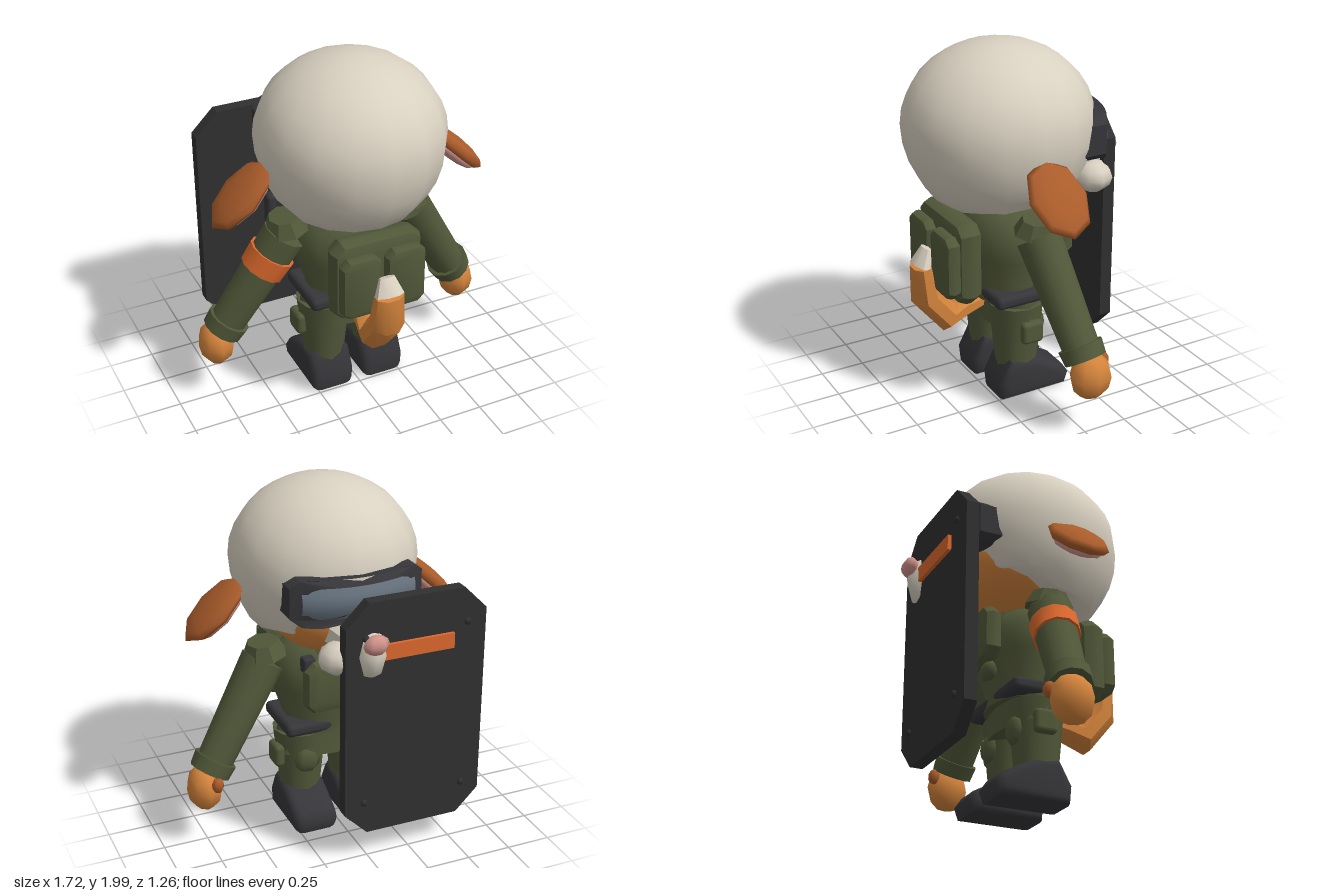
import * as THREE from 'three';
import { toCreasedNormals } from 'three/addons/utils/BufferGeometryUtils.js';
import { RoundedBoxGeometry } from 'three/addons/geometries/RoundedBoxGeometry.js';

const mat = (name, color, side = THREE.FrontSide) => {
  const m = new THREE.MeshStandardMaterial({ color, side });
  m.name = name;
  return m;
};
const shapeOf = pts => new THREE.Shape(pts.map(p => new THREE.Vector2(...p)));

export function createModel() {
  const model = new THREE.Group();
  model.name = 'animalOfficer';
  const cream = mat('cream', 0xd8d0c0), fur = mat('orangeFur', 0xd4843c), ear = mat('rustFur', 0xaa5c2b);
  const band = mat('brightOrange', 0xdb682c), pink = mat('pink', 0xd2948c), green = mat('olive', 0x515839);
  const black = mat('black', 0x36363a), shieldMat = mat('shieldBlack', 0x303031);
  const glass = mat('glass', 0x66727e, THREE.DoubleSide);

  const add = (name, geo, material, pos = [0, 0, 0], scale = [1, 1, 1]) => {
    const m = new THREE.Mesh(geo, material);
    m.name = name;
    m.position.set(...pos);
    m.scale.set(...scale);
    model.add(m);
    return m;
  };
  const ball = (name, material, pos, scale, w = 10, h = 8) =>
    add(name, new THREE.SphereGeometry(1, w, h), material, pos, scale);
  const block = (name, material, pos, size, r) =>
    add(name, new RoundedBoxGeometry(...size, 2, r), material, pos);
  // Padded pouch: clipped rectangle with a wide bevel front and back
  const pouch = (name, pos, w, h, d, bevel) => {
    const x = w / 2 - bevel, y = h / 2 - bevel, c = 0.02, t = d * 0.4;
    const shape = shapeOf([[-x + c, -y], [x - c, -y], [x, -y + c], [x, y - c], [x - c, y], [-x + c, y], [-x, y - c], [-x, -y + c]]);
    const geo = new THREE.ExtrudeGeometry(shape, { depth: d - 2 * t, bevelThickness: t, bevelSize: bevel, bevelSegments: 2 });
    geo.translate(0, 0, t - d / 2);
    add(name, toCreasedNormals(geo, 0.7), green, pos);
  };
  const up = new THREE.Vector3(0, 1, 0);
  // Round bar from a to b
  const bar = (name, material, a, b, ra, rb, sides = 12) => {
    const A = new THREE.Vector3(...a), B = new THREE.Vector3(...b), d = B.clone().sub(A);
    const geo = toCreasedNormals(new THREE.CylinderGeometry(rb, ra, d.length(), sides), 0.9);
    const m = add(name, geo, material, A.clone().add(B).multiplyScalar(0.5).toArray());
    m.quaternion.setFromUnitVectors(up, d.normalize());
  };
  // Loft of rings [y, z, radiusX, radiusAcross] along a path in the x = 0 plane
  const loft = (name, material, rings, sides = 8) => {
    const pos = [], index = [], n = rings.length;
    rings.forEach(([y, z, rx, rt], i) => {
      const a = rings[Math.max(i - 1, 0)], b = rings[Math.min(i + 1, n - 1)];
      const ty = b[0] - a[0], tz = b[1] - a[1], l = Math.hypot(ty, tz);
      for (let j = 0; j < sides; j++) {
        const t = ((j + 0.5) / sides) * Math.PI * 2, c = Math.cos(t) * rx, s = Math.sin(t) * rt;
        pos.push(c, y + (s * tz) / l, z - (s * ty) / l);
      }
    });
    pos.push(0, rings[0][0], rings[0][1], 0, rings[n - 1][0], rings[n - 1][1]);
    for (let j = 0; j < sides; j++) {
      const k = (j + 1) % sides;
      for (let i = 0; i < n - 1; i++) {
        const a = i * sides + j, b = i * sides + k;
        index.push(a, b, a + sides, b, b + sides, a + sides);
      }
      const e = (n - 1) * sides;
      index.push(n * sides, k, j, n * sides + 1, e + j, e + k);
    }
    const geo = new THREE.BufferGeometry();
    geo.setAttribute('position', new THREE.Float32BufferAttribute(pos, 3));
    geo.setIndex(index);
    add(name, toCreasedNormals(geo, 0.7), material);
  };

  // Woolly cap: ellipsoid cut along a hairline that rises towards the face
  const hair = new THREE.SphereGeometry(1, 16, 16);
  const hp = hair.attributes.position;
  const hairline = z => 1.12 + Math.max(0, 0.38 - z) * 0.24 + Math.max(0, -0.2 - z) * 1.0;
  for (let i = 0; i < hp.count; i++) {
    const x = hp.getX(i) * 0.51, z = 0.11 + hp.getZ(i) * 0.52;
    const y = 1.56 + hp.getY(i) * (hp.getY(i) > 0 ? 0.44 : 0.55);
    hp.setXYZ(i, x, Math.max(y, hairline(z)), z);
  }
  add('woolCap', toCreasedNormals(hair, 0.6), cream);

  // Face, muzzle and nose
  ball('face', fur, [0, 1.36, -0.04], [0.38, 0.28, 0.31], 16, 12);
  loft('muzzle', cream, [[1.27, -0.25, 0.17, 0.12], [1.27, -0.36, 0.15, 0.11], [1.26, -0.46, 0.12, 0.09],
    [1.26, -0.53, 0.08, 0.07]]);
  ball('snout', cream, [0, 1.23, -0.5], [0.09, 0.15, 0.1], 8, 4);
  ball('chin', cream, [0, 1.16, -0.42], [0.1, 0.06, 0.12]);
  ball('nose', pink, [0, 1.305, -0.585], [0.073, 0.055, 0.045], 6, 6);
  for (const s of [-1, 1]) ball('cheek', cream, [s * 0.125, 1.185, -0.41], [0.12, 0.09, 0.11], 8, 6);

  // Goggles: flat frame and bulging lens bent around the face
  const bend = (geo, z0, bulge) => {
    const p = geo.attributes.position;
    for (let i = 0; i < p.count; i++) p.setZ(i, z0 + p.getZ(i) + 0.75 * p.getX(i) ** 2 - bulge * (1 - (p.getY(i) / 0.085) ** 2));
    geo.computeVertexNormals();
    return geo;
  };
  const outline = (w, h, notch) => {
    const top = [], bottom = [];
    for (let i = 0; i <= 14; i++) {
      const x = w * (i / 7 - 1), y = h - Math.max(0, Math.abs(x) - w + 0.06) * 0.8;
      top.push([x, y]);
      bottom.unshift([x, -y + notch * Math.max(0, 1 - Math.abs(x) / 0.2)]);
    }
    return shapeOf([...top, ...bottom]);
  };
  const frame = outline(0.37, 0.13, 0.04);
  frame.holes.push(outline(0.31, 0.085, 0.04));
  const frameGeo = new THREE.ExtrudeGeometry(frame, { depth: 0.13, bevelEnabled: false });
  add('goggleFrame', toCreasedNormals(bend(frameGeo, -0.44, 0), 0.6), black, [0, 1.49, 0]);
  add('goggleLens', bend(new THREE.PlaneGeometry(0.63, 0.175, 12, 4), -0.425, 0.03), glass, [0, 1.49, 0]);

  // Torso, collar, belt
  const torso = [[0, 0.58], [0.26, 0.58], [0.25, 0.67], [0.31, 0.84], [0.31, 0.98], [0.24, 1.09], [0.12, 1.13], [0, 1.13]]
    .map(p => new THREE.Vector2(...p));
  add('jacket', toCreasedNormals(new THREE.LatheGeometry(torso, 14), 0.8), green, [0, 0, 0.09], [1, 1, 0.77]);
  bar('collar', green, [0, 1.06, 0.07], [0, 1.14, 0.07], 0.2, 0.17);
  block('belt', black, [0, 0.62, 0.085], [0.59, 0.075, 0.37], 0.03);
  add('hips', toCreasedNormals(new THREE.CylinderGeometry(0.29, 0.31, 0.16, 12), 0.6), green, [0, 0.51, 0.085], [1, 1, 0.53]);

  // Backpack and chest gear
  pouch('backpack', [0, 0.87, 0.405], 0.52, 0.47, 0.15, 0.06);
  for (const s of [-1, 1]) pouch('packPouch', [s * 0.13, 0.865, 0.5], 0.23, 0.36, 0.09, 0.035);
  pouch('chestPanel', [0, 0.925, -0.185], 0.47, 0.3, 0.11, 0.05);
  ball('beltPouch', green, [-0.13, 0.72, -0.175], [0.08, 0.055, 0.04], 6, 4);
  block('radio', black, [0.2, 1.05, -0.16], [0.07, 0.09, 0.07], 0.015);

  // Boot side profile, extruded across the foot with soft edges
  const boot = shapeOf([[0.195, 0.05], [-0.14, 0.05], [-0.147, 0.07], [-0.13, 0.095], [-0.03, 0.15], [0.04, 0.185],
    [0.15, 0.195], [0.2, 0.1]].map(([z, y]) => [-z, y]));
  const bootGeo = new THREE.ExtrudeGeometry(boot,
    { depth: 0.155, bevelThickness: 0.05, bevelSize: 0.042, bevelSegments: 3 });
  bootGeo.translate(0, 0, -0.0775);
  bootGeo.rotateY(Math.PI / 2);
  const bootSmooth = toCreasedNormals(bootGeo, 1);

  for (const s of [-1, 1]) {
    // Leg, pocket, knee pad and boot
    bar('leg', green, [s * 0.155, 0.18, 0.09], [s * 0.155, 0.56, 0.09], 0.115, 0.152);
    block('thighPocket', green, [s * 0.3, 0.42, 0.07], [0.06, 0.13, 0.13], 0.025);
    ball('kneePad', green, [s * 0.155, 0.4, -0.035], [0.08, 0.08, 0.04], 6, 6);
    add('boot', bootSmooth, black, [s * 0.157, 0, 0]);

    // Arm, cuff, shoulder pad, hand and thumb
    const arm = t => [s * (0.36 + 0.35 * t), 1.03 - 0.57 * t, 0.075 - 0.08 * t];
    bar('sleeve', green, arm(0.03), arm(1), 0.122, 0.1);
    bar('cuff', green, arm(0.92), arm(1.04), 0.122, 0.115);
    if (s < 0) bar('armband', band, arm(0.22), arm(0.39), 0.133, 0.127);
    const pad = add('shoulderPad', toCreasedNormals(new THREE.CylinderGeometry(0.1, 0.145, 0.08, 8), 0.5), green,
      [s * 0.365, 1.085, 0.07], [0.85, 1, 0.95]);
    pad.rotation.z = -s * 0.15;
    ball('hand', fur, [s * 0.76, 0.355, -0.02], [0.1, 0.13, 0.12], 8, 6);
    ball('thumb', ear, [s * 0.715, 0.405, -0.12], [0.035, 0.045, 0.035], 6, 5);

    // Drooping ear with pink underside
    const earGroup = new THREE.Group();
    earGroup.name = 'ear';
    earGroup.position.set(s * 0.625, 1.335, 0.11);
    earGroup.rotation.z = -s * 0.76;
    for (const [name, m, y, size] of [['earShell', ear, 0, [0.225, 0.055, 0.165]], ['earInner', pink, -0.03, [0.19, 0.045, 0.135]]]) {
      const e = new THREE.Mesh(new THREE.SphereGeometry(1, 8, 6), m);
      e.name = name;
      e.position.y = y;
      e.scale.set(...size);
      earGroup.add(e);
    }
    model.add(earGroup);
  }

  // Tail with pale tip
  loft('tail', fur, [[0.54, 0.22, 0.06, 0.05], [0.52, 0.34, 0.08, 0.065], [0.485, 0.44, 0.1, 0.09],
    [0.63, 0.56, 0.1, 0.085], [0.82, 0.585, 0.085, 0.055]]);
  loft('tailTip', cream, [[0.82, 0.585, 0.085, 0.055], [0.915, 0.55, 0.045, 0.025]]);

  // Riot shield with clipped corners, stripe, bolts and grip
  const [x0, x1, y0, y1, c] = [-0.65, 0.15, 0.18, 1.52, 0.13];
  const plate = shapeOf([[x0 + c, y0], [x1 - c, y0], [x1, y0 + c], [x1, y1 - c], [x1 - c, y1], [x0 + c, y1],
    [x0, y1 - c], [x0, y0 + c]]);
  add('shield', new THREE.ExtrudeGeometry(plate, { depth: 0.07, bevelEnabled: false }), shieldMat, [0, 0, -0.54]);
  add('shieldStripe', new THREE.BoxGeometry(0.46, 0.085, 0.02), band, [-0.23, 1.24, -0.55]);
  for (const x of [-0.54, 0.04])
    for (const y of [0.37, 1.33]) ball('bolt', shieldMat, [x, y, -0.545], [0.02, 0.02, 0.015], 8, 6);
  block('shieldGrip', black, [-0.25, 0.855, -0.415], [0.06, 0.23, 0.075], 0.025);

  return model;
}
